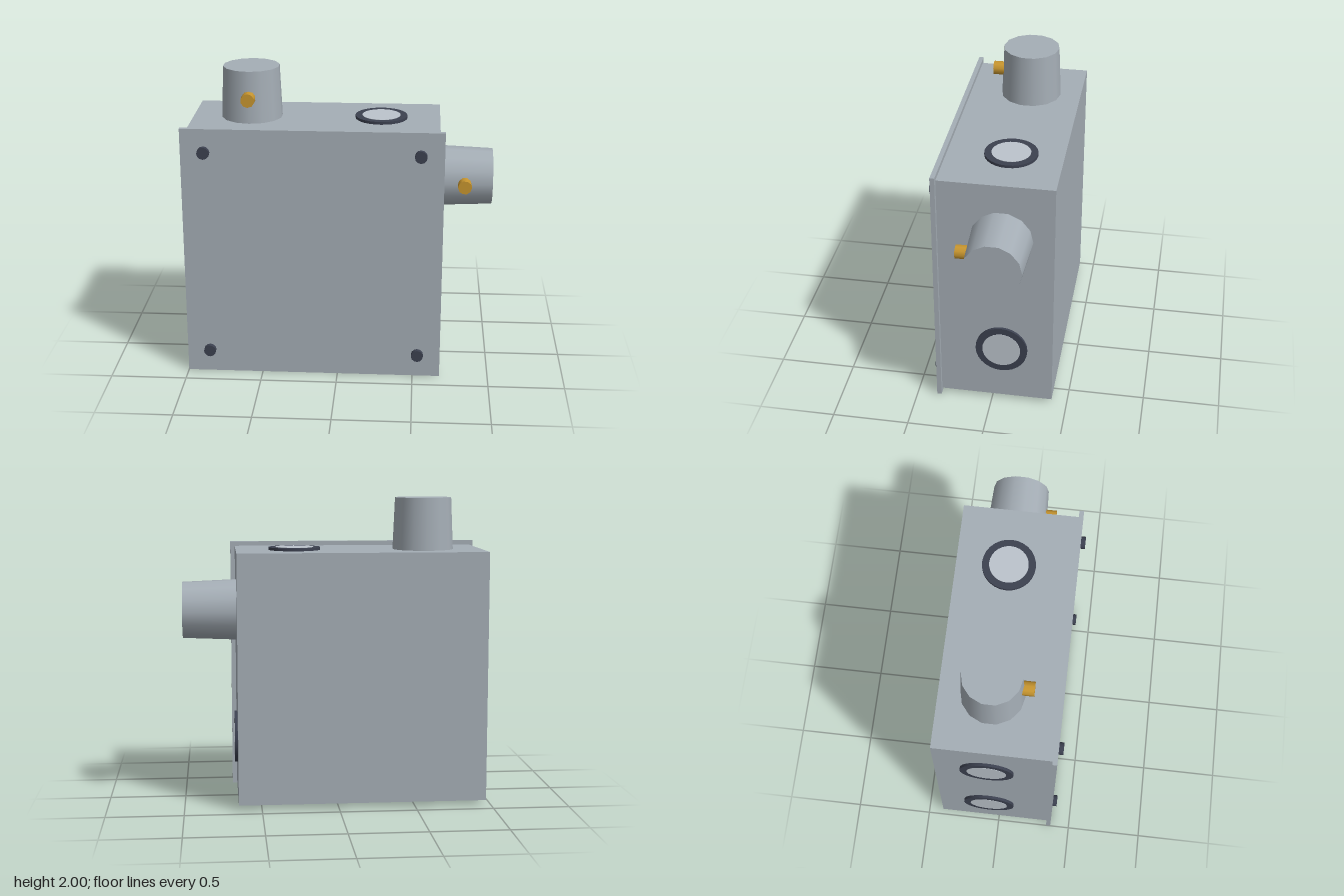
import * as THREE from 'three';

const mat = (name, color) => {
  const m = new THREE.MeshStandardMaterial({ color });
  m.name = name;
  return m;
};

export function createModel() {
  const steel = mat('grey steel', 0xa5aeb6);
  const plate = mat('pale steel', 0xbcc4cc);
  const dark = mat('dark metal', 0x3c4150);
  const brass = mat('brass', 0xc8962f);
  const model = new THREE.Group();
  model.name = 'junctionBox';
  const X = 0.265, PX = -0.585, Z = -0.065, HIGH = 1.27, LOW = 0.42;

  const add = (name, geometry, material, x, y, z, parent = model) => {
    const mesh = new THREE.Mesh(geometry, material);
    mesh.name = name;
    mesh.position.set(x, y, z);
    parent.add(mesh);
    return mesh;
  };
  // Group whose local +y points out of the chosen wall
  const mount = (name, x, y, z, turn) => {
    const g = new THREE.Group();
    g.name = name;
    g.position.set(x, y, z);
    g.rotation.z = turn;
    model.add(g);
    return g;
  };

  // Housing and front cover
  add('housing', new THREE.BoxGeometry(1.62, 1.63, 0.74), steel, -0.16, 0.845, -0.03);
  add('cover', new THREE.BoxGeometry(1.68, 1.69, 0.03), steel, -0.16, 0.845, 0.355);

  // Cover screws
  for (const x of [-0.85, 0.53]) for (const y of [0.155, 1.537]) {
    add('screw', new THREE.CylinderGeometry(0.04, 0.04, 0.03, 12), dark, x, y, 0.385).rotation.x = Math.PI / 2;
  }

  // Conduit stubs, each with a brass clamp screw facing front
  const conduit = (x, y, turn, length) => {
    const g = mount('conduit', x, y, Z, turn);
    add('stub', new THREE.CylinderGeometry(0.185, 0.2, length, 14), steel, 0, length / 2, 0, g);
    add('clampScrew', new THREE.CylinderGeometry(0.045, 0.045, 0.1, 10), brass, 0, 0.167, 0.205, g).rotation.x = Math.PI / 2;
  };
  conduit(PX, 1.66, 0, 0.34);
  conduit(0.65, HIGH, -Math.PI / 2, 0.35);

  // Knockouts: dark rim around a pale disc
  const knockout = (x, y, turn) => {
    const g = mount('knockout', x, y, Z, turn);
    add('rim', new THREE.CylinderGeometry(0.17, 0.17, 0.018, 28), dark, 0, 0.009, 0, g);
    add('disc', new THREE.CylinderGeometry(0.125, 0.125, 0.004, 28), plate, 0, 0.018, 0, g);
  };
  knockout(X, 1.66, 0);
  knockout(0.65, LOW, -Math.PI / 2);
  for (const y of [LOW, HIGH]) knockout(-0.97, y, Math.PI / 2);
  for (const x of [PX, X]) knockout(x, 0.03, Math.PI);

  return model;
}
